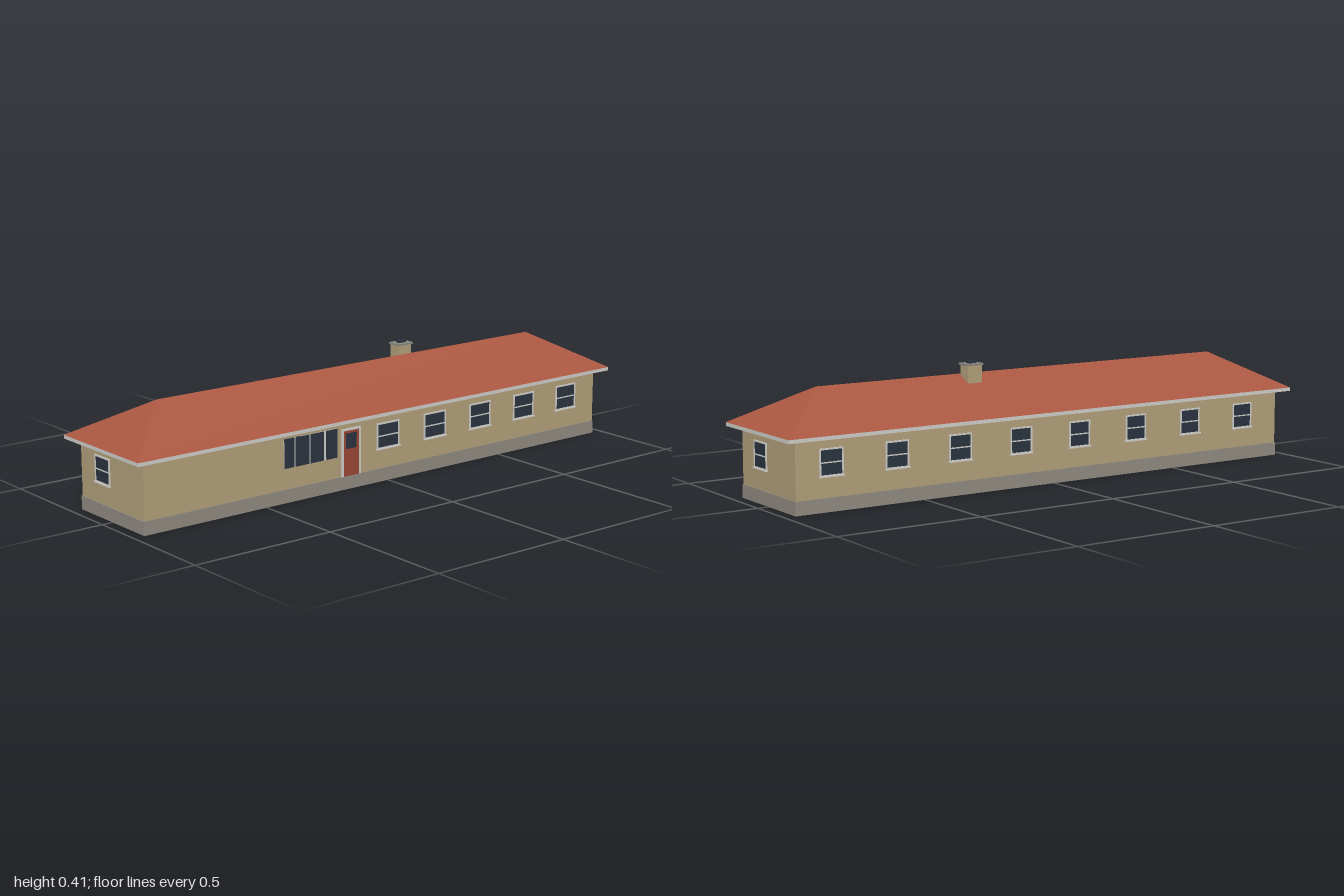
import * as THREE from 'three';

const mat = (name, color) => {
  const m = new THREE.MeshStandardMaterial({ color });
  m.name = name;
  return m;
};

export function createModel() {
  const house = new THREE.Group();
  house.name = 'house';
  const wall = mat('tan wall', 0xb8a67f);
  const stone = mat('grey foundation', 0x959086);
  const tile = mat('red roof', 0xaa5741);
  const trim = mat('pale trim', 0xd6d5d0);
  const glass = mat('dark glass', 0x2c3542);
  const paint = mat('red door', 0xa04a38);
  const capGrey = mat('grey cap', 0x8c8b85);

  // Box given by its centre, bottom and sizes
  const box = (parent, name, m, w, h, d, x, y, z) => {
    const mesh = new THREE.Mesh(new THREE.BoxGeometry(w, h, d), m);
    mesh.name = name;
    mesh.position.set(x, y + h / 2, z);
    parent.add(mesh);
    return mesh;
  };

  // Body
  box(house, 'foundation', stone, 1.926, 0.045, 0.356, 0, 0, 0);
  box(house, 'walls', wall, 1.92, 0.19, 0.352, 0, 0.045, 0);
  box(house, 'eaves', trim, 2, 0.012, 0.422, 0, 0.231, 0);

  // Hipped roof: eave rectangle joined to the ridge
  const [X, Z, Y0, Y1, R] = [1, 0.211, 0.243, 0.365, 0.79];
  const a = [-X, Y0, Z], b = [X, Y0, Z], c = [X, Y0, -Z], d = [-X, Y0, -Z];
  const l = [-R, Y1, 0], r = [R, Y1, 0];
  const faces = [a, b, r, a, r, l, c, d, l, c, l, r, b, c, r, d, a, l];
  const roofGeo = new THREE.BufferGeometry();
  roofGeo.setAttribute('position', new THREE.Float32BufferAttribute(faces.flat(), 3));
  roofGeo.computeVertexNormals();
  const roof = new THREE.Mesh(roofGeo, tile);
  roof.name = 'roof';
  house.add(roof);

  // Chimney
  const chimney = new THREE.Group();
  chimney.name = 'chimney';
  chimney.position.set(0.228, 0, -0.027);
  box(chimney, 'chimneyStack', wall, 0.054, 0.1, 0.044, 0, 0.295, 0);
  box(chimney, 'chimneyCap', capGrey, 0.064, 0.006, 0.051, 0, 0.395, 0);
  box(chimney, 'flue', glass, 0.03, 0.008, 0.018, 0, 0.401, 0);
  house.add(chimney);

  // Sash window facing local +z, with its back at z = 0
  const sashWindow = (name, w, x, z, turn) => {
    const g = new THREE.Group();
    g.name = name;
    const y = 0.112, h = 0.088, t = 0.005;
    box(g, 'pane', glass, w - t, h - t, 0.002, 0, y + t / 2, 0.001);
    for (const s of [-1, 1]) box(g, 'jamb', trim, t, h, 0.004, s * (w - t) / 2, y, 0.002);
    for (const v of [0, (h - t) / 2, h - t]) {
      box(g, 'rail', trim, w - 2 * t, v > 0 && v < h - t ? 0.004 : t, 0.004, 0, y + v, 0.002);
    }
    box(g, 'sill', trim, w + 0.006, 0.004, 0.008, 0, 0.11, 0.004);
    g.position.set(x, 0, z);
    g.rotation.y = turn;
    house.add(g);
  };
  for (let i = 0; i < 5; i++) sashWindow('frontWindow', 0.096, i * 0.205, 0.176, 0);
  for (let i = 0; i < 8; i++) sashWindow('backWindow', 0.084, 0.836 - i * 0.2345, -0.176, Math.PI);
  sashWindow('leftWindow', 0.084, 0.96, 0.051, Math.PI / 2);
  sashWindow('rightWindow', 0.084, -0.96, -0.051, -Math.PI / 2);

  // Wide picture window of four panes
  const picture = new THREE.Group();
  picture.name = 'pictureWindow';
  box(picture, 'backing', trim, 0.214, 0.097, 0.003, -0.323, 0.115, 0.1775);
  for (const [x0, x1] of [[-0.43, -0.39], [-0.385, -0.33], [-0.325, -0.271], [-0.261, -0.216]]) {
    box(picture, 'pane', glass, x1 - x0, 0.097, 0.004, (x0 + x1) / 2, 0.115, 0.178);
  }
  house.add(picture);

  // Front door
  const door = new THREE.Group();
  door.name = 'frontDoor';
  door.position.set(-0.157, 0, 0.176);
  for (const s of [-1, 1]) box(door, 'jamb', trim, 0.007, 0.16, 0.005, s * 0.0365, 0.045, 0.0025);
  box(door, 'lintel', trim, 0.066, 0.007, 0.005, 0, 0.198, 0.0025);
  box(door, 'slab', paint, 0.066, 0.153, 0.003, 0, 0.045, 0.0015);
  box(door, 'doorGlass', glass, 0.044, 0.052, 0.004, 0, 0.137, 0.002);
  house.add(door);

  return house;
}
